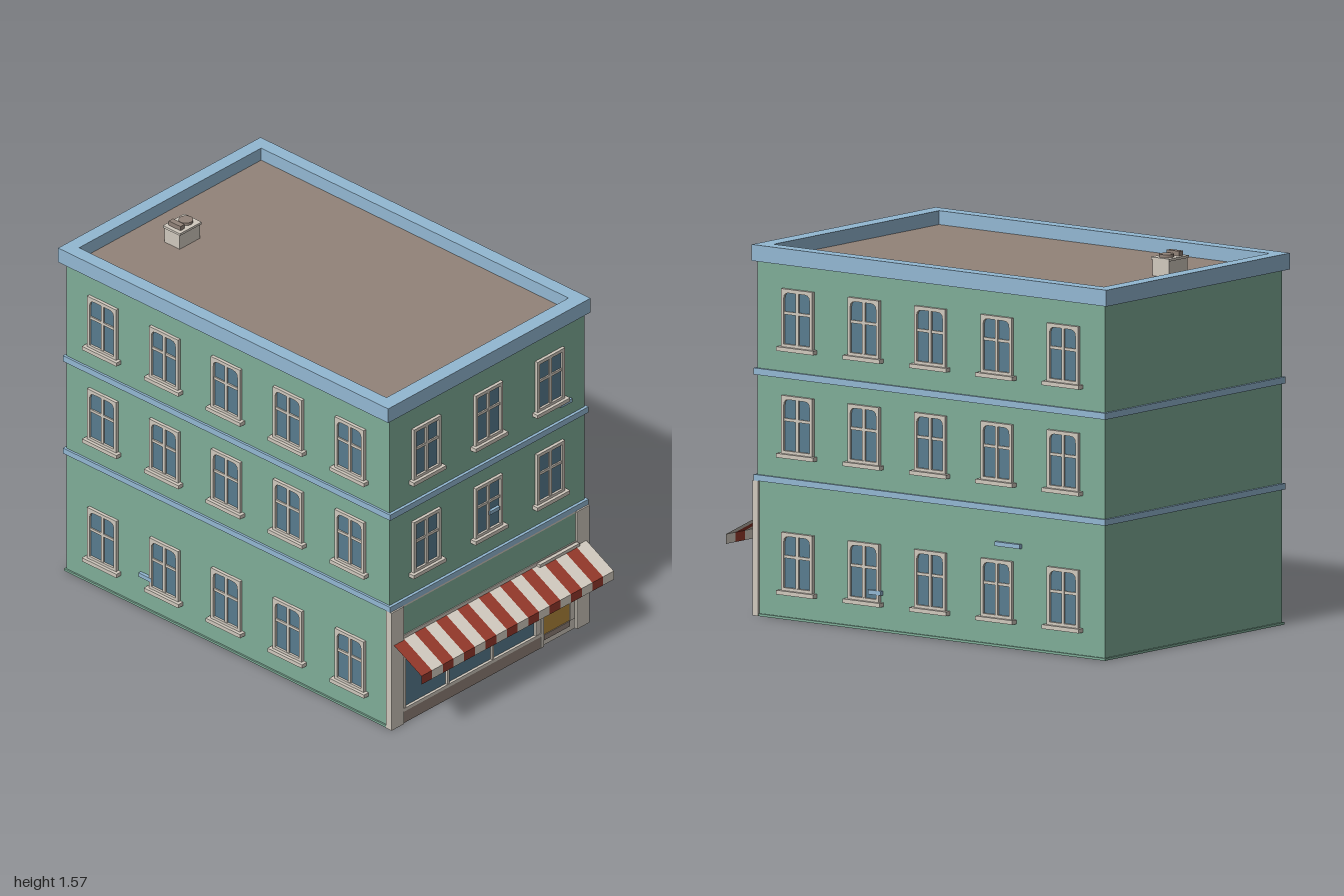
import * as THREE from 'three';

const paint = (name, color) => {
  const m = new THREE.MeshStandardMaterial({ color });
  m.name = name;
  return m;
};

export function createModel() {
  const green = paint('wall green', 0x7fad98);
  const blue = paint('trim blue', 0x93b8d3);
  const cream = paint('stone cream', 0xd0c9be);
  const glass = paint('window glass', 0x587c8f);
  const taupe = paint('roof taupe', 0x928379);
  const red = paint('awning red', 0x983a2c);
  const ochre = paint('door ochre', 0xb58a3c);
  const creamSheet = paint('awning cream', 0xd8d1c5);
  red.side = creamSheet.side = THREE.DoubleSide;

  const model = new THREE.Group();
  model.name = 'cornerShopBuilding';

  const add = (parent, name, geometry, material) => {
    const mesh = new THREE.Mesh(geometry, material);
    mesh.name = name;
    parent.add(mesh);
    return mesh;
  };
  // Box given by its minimum and maximum on each axis
  const box = (parent, name, material, x0, x1, y0, y1, z0, z1) => {
    const mesh = add(parent, name, new THREE.BoxGeometry(x1 - x0, y1 - y0, z1 - z0), material);
    mesh.position.set((x0 + x1) / 2, (y0 + y1) / 2, (z0 + z1) / 2);
    return mesh;
  };
  const polygon = (points) => points.map(([x, y]) => new THREE.Vector2(x, y));

  // Main walls, plinth and storey bands
  const W = 0.575, F = 0.825, B = -0.975;
  box(model, 'walls', green, -W, W, 0, 1.463, B, F);
  box(model, 'plinth', green, -0.582, 0.582, 0, 0.01, -0.982, F);
  box(model, 'lowerBand', blue, -0.585, 0.585, 0.555, 0.58, -0.985, 0.838);
  box(model, 'upperBand', blue, -0.585, 0.585, 0.99, 1.017, -0.985, 0.838);

  // Parapet ring around a sunken roof
  box(model, 'roof', taupe, -0.54, 0.54, 1.463, 1.468, -0.945, 0.78);
  const ring = new THREE.Shape(polygon([[-0.597, -0.838], [0.597, -0.838], [0.597, 1], [-0.597, 1]]));
  ring.holes.push(new THREE.Path(polygon([[-0.537, -0.772], [-0.537, 0.94], [0.537, 0.94], [0.537, -0.772]])));
  const parapet = add(model, 'parapet',
    new THREE.ExtrudeGeometry(ring, { depth: 0.067, bevelEnabled: false }), blue);
  parapet.rotation.x = -Math.PI / 2;
  parapet.position.y = 1.458;

  // Rooftop ventilation unit
  const vent = new THREE.Group();
  vent.name = 'roofVent';
  model.add(vent);
  box(vent, 'ventBody', cream, -0.198, -0.078, 1.465, 1.535, -0.785, -0.7);
  box(vent, 'ventLid', cream, -0.202, -0.074, 1.535, 1.545, -0.79, -0.695);
  box(vent, 'ventSlot', taupe, -0.183, -0.158, 1.545, 1.565, -0.775, -0.71);
  const fan = add(vent, 'ventFan', new THREE.CylinderGeometry(0.03, 0.03, 0.012, 20), taupe);
  fan.position.set(-0.117, 1.551, -0.742);

  // Sash window facing +z, origin at the middle of its base on the wall
  const w = 0.081, h = 0.24;
  const frameGeometry = (corner) => {
    const shape = new THREE.Shape(polygon([[-w, 0], [w, 0], [w, h], [-w, h]]));
    const x = w - 0.014, y = h - 0.015, b = 0.014;
    const hole = new THREE.Path();
    hole.moveTo(-x, b);
    hole.lineTo(-x, y - corner);
    hole.quadraticCurveTo(-x, y, -x + corner, y);
    hole.lineTo(x - corner, y);
    hole.quadraticCurveTo(x, y, x, y - corner);
    hole.lineTo(x, b);
    shape.holes.push(hole);
    return new THREE.ExtrudeGeometry(shape, { depth: 0.014, bevelEnabled: false, curveSegments: 3 });
  };
  const squareFrame = frameGeometry(0.004), roundFrame = frameGeometry(0.025);
  const addWindow = (frame, x, y, z, turn) => {
    const g = new THREE.Group();
    g.name = 'window';
    g.position.set(x, y, z);
    g.rotation.y = turn;
    model.add(g);
    add(g, 'frame', frame, cream);
    box(g, 'pane', glass, -0.075, 0.075, 0.005, h - 0.005, 0, 0.004);
    box(g, 'mullion', cream, -0.007, 0.007, 0.01, h - 0.01, 0.002, 0.011);
    box(g, 'transom', cream, -0.07, 0.07, 0.135, 0.147, 0.002, 0.01);
    box(g, 'sill', cream, -0.096, 0.096, -0.015, 0.002, 0, 0.028);
  };
  for (const y of [0.68, 1.118]) {
    for (const x of [-0.365, 0, 0.365]) addWindow(squareFrame, x, y, F, 0);
  }
  for (const y of [0.118, 0.68, 1.118]) {
    for (let i = 0; i < 5; i++) {
      for (const s of [-1, 1]) addWindow(roundFrame, s * W, y, 0.612 - i * 0.3445, s * Math.PI / 2);
    }
  }

  // Shopfront: pilasters, sign board, stall riser
  const shop = new THREE.Group();
  shop.name = 'shopfront';
  model.add(shop);
  for (const s of [-1, 1]) {
    const p = box(shop, 'pilaster', cream, -0.0365, 0.0365, 0, 0.555, 0.815, 0.845);
    p.position.x = s * 0.5475;
  }
  box(shop, 'signBoard', green, -0.511, 0.511, 0.415, 0.548, F, 0.836);
  box(shop, 'signRail', cream, -0.511, 0.511, 0.405, 0.415, F, 0.84);
  box(shop, 'signTopRail', cream, -0.511, 0.511, 0.548, 0.555, F, 0.838);
  box(shop, 'stallRiser', taupe, -0.511, 0.3, 0, 0.055, F, 0.84);

  // Display window with three panes
  box(shop, 'displayGlass', glass, -0.505, 0.295, 0.06, 0.4, F, 0.83);
  for (const [x0, x1] of [[-0.511, -0.493], [-0.249, -0.238], [0.014, 0.025], [0.272, 0.3]]) {
    box(shop, 'displayPost', cream, x0, x1, 0.055, 0.405, F, 0.84);
  }
  box(shop, 'displaySill', cream, -0.511, 0.3, 0.055, 0.07, F, 0.842);
  box(shop, 'displayHead', cream, -0.511, 0.3, 0.39, 0.405, F, 0.84);

  // Door, its surround, step and head bar
  box(shop, 'doorSurround', cream, 0.3, 0.511, 0, 0.405, F, 0.832);
  box(shop, 'door', ochre, 0.318, 0.474, 0.055, 0.385, 0.83, 0.838);
  box(shop, 'doorStep', taupe, 0.322, 0.472, 0.03, 0.055, 0.83, 0.842);
  box(shop, 'doorPost', cream, 0.3, 0.318, 0, 0.405, 0.83, 0.842);
  box(shop, 'doorPost', cream, 0.474, 0.5, 0.055, 0.405, 0.83, 0.842);
  box(shop, 'doorHeadBar', cream, 0.28, 0.515, 0.396, 0.41, F, 0.856);

  // Striped awning: each stripe is a sloping strip with a hanging valance
  const awning = new THREE.Group();
  awning.name = 'awning';
  model.add(awning);
  const stripe = 1.135 / 18;
  const profile = [[0.402, 0.835], [0.315, 0.998], [0.275, 0.998]];
  for (let i = 0; i < 18; i++) {
    const g = new THREE.PlaneGeometry(stripe, 1, 1, 2);
    const p = g.attributes.position;
    for (let k = 0; k < p.count; k++) {
      const [y, z] = profile[Math.floor(k / 2)];
      p.setXYZ(k, -0.57 + stripe * (i + (k % 2)), y, z);
    }
    const flat = g.toNonIndexed();
    flat.computeVertexNormals();
    add(awning, 'awningStripe', flat, i % 2 ? creamSheet : red);
  }

  // Small loose trim pieces on the walls
  box(model, 'wallTrim', blue, 0.423, 0.488, 1.083, 1.099, F, 0.84);
  box(model, 'wallTrim', blue, 0, 0.06, 0.762, 0.778, F, 0.842);
  box(model, 'wallTrim', blue, W, 0.59, 0.415, 0.433, -0.545, -0.415);
  box(model, 'wallTrim', blue, W, 0.592, 0.15, 0.168, 0.175, 0.24);
  box(model, 'wallTrim', blue, -0.59, -W, 0.15, 0.168, -0.56, -0.49);
  return model;
}
